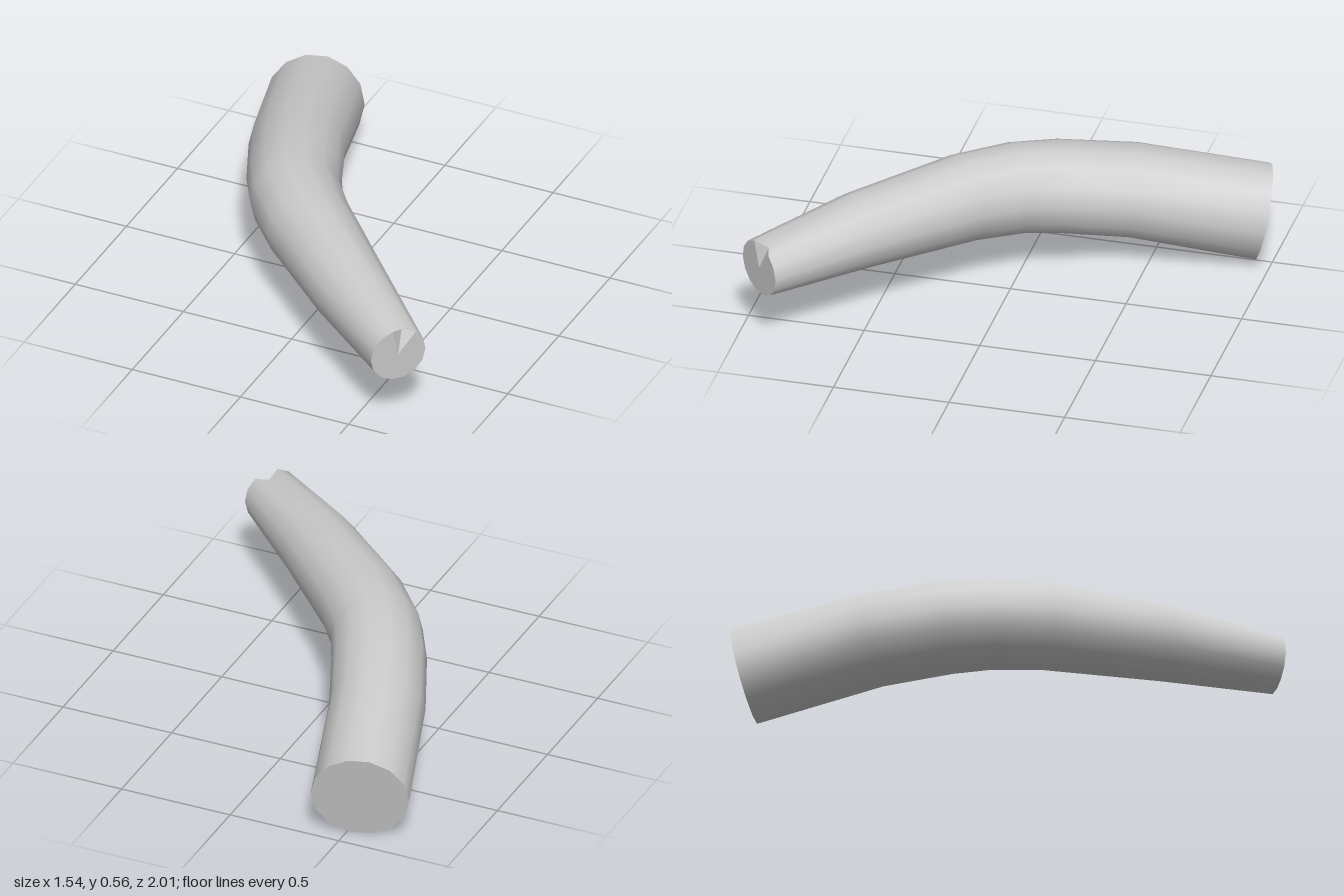
import * as THREE from 'three';

const SIDES = 14;

// Cross-sections from the thick back end to the thin front end: x, y, z, radius
const SECTIONS = [
  [-0.57, 0.203, -0.94, 0.208],
  [-0.41, 0.318, -0.42, 0.203],
  [-0.285, 0.362, -0.13, 0.2],
  [-0.2, 0.376, 0.03, 0.195],
  [-0.05, 0.384, 0.215, 0.187],
  [0.315, 0.373, 0.575, 0.163],
  [0.685, 0.347, 0.905, 0.124],
];

// One ring of points, square to the local direction of the centre line
function makeRings() {
  const centres = SECTIONS.map(([x, y, z]) => new THREE.Vector3(x, y, z));
  const last = centres.length - 1;
  return centres.map((c, i) => {
    const t = centres[Math.min(i + 1, last)].clone().sub(centres[Math.max(i - 1, 0)]).normalize();
    const side = new THREE.Vector3(t.z, 0, -t.x).normalize();
    const up = new THREE.Vector3().crossVectors(t, side);
    const ring = [];
    for (let j = 0; j < SIDES; j++) {
      const a = (j / SIDES) * Math.PI * 2;
      const p = c.clone()
        .addScaledVector(side, Math.cos(a) * SECTIONS[i][3])
        .addScaledVector(up, Math.sin(a) * SECTIONS[i][3]);
      // Small chip in the upper rim of the front end
      if (i === last && j === 3) p.addScaledVector(t, -0.035).addScaledVector(up, -0.022);
      ring.push(p);
    }
    return ring;
  });
}

function makeMesh(name, points, index, material) {
  const geometry = new THREE.BufferGeometry().setFromPoints(points);
  geometry.setIndex(index);
  geometry.computeVertexNormals();
  const mesh = new THREE.Mesh(geometry, material);
  mesh.name = name;
  return mesh;
}

// Flat fan closing one end
function makeCap(name, ring, s, flip, material) {
  const points = [new THREE.Vector3(s[0], s[1], s[2]), ...ring];
  const index = [];
  for (let j = 0; j < SIDES; j++) {
    const a = 1 + j, b = 1 + ((j + 1) % SIDES);
    index.push(0, flip ? b : a, flip ? a : b);
  }
  return makeMesh(name, points, index, material);
}

export function createModel() {
  const group = new THREE.Group();
  group.name = 'curvedTaperedTube';
  const smooth = new THREE.MeshStandardMaterial({ color: 0xcccccc });
  const flat = new THREE.MeshStandardMaterial({ color: 0xcccccc, flatShading: true });
  const rings = makeRings();
  const last = rings.length - 1;

  // Smooth curved wall
  const index = [];
  for (let i = 0; i < last; i++) {
    for (let j = 0; j < SIDES; j++) {
      const k = (j + 1) % SIDES;
      const a = i * SIDES + j, b = i * SIDES + k;
      index.push(a, b, a + SIDES, b, b + SIDES, a + SIDES);
    }
  }
  group.add(makeMesh('tubeWall', rings.flat(), index, smooth));

  // End faces
  group.add(makeCap('backEnd', rings[0], SECTIONS[0], true, flat));
  group.add(makeCap('frontEnd', rings[last], SECTIONS[last], false, flat));
  return group;
}
